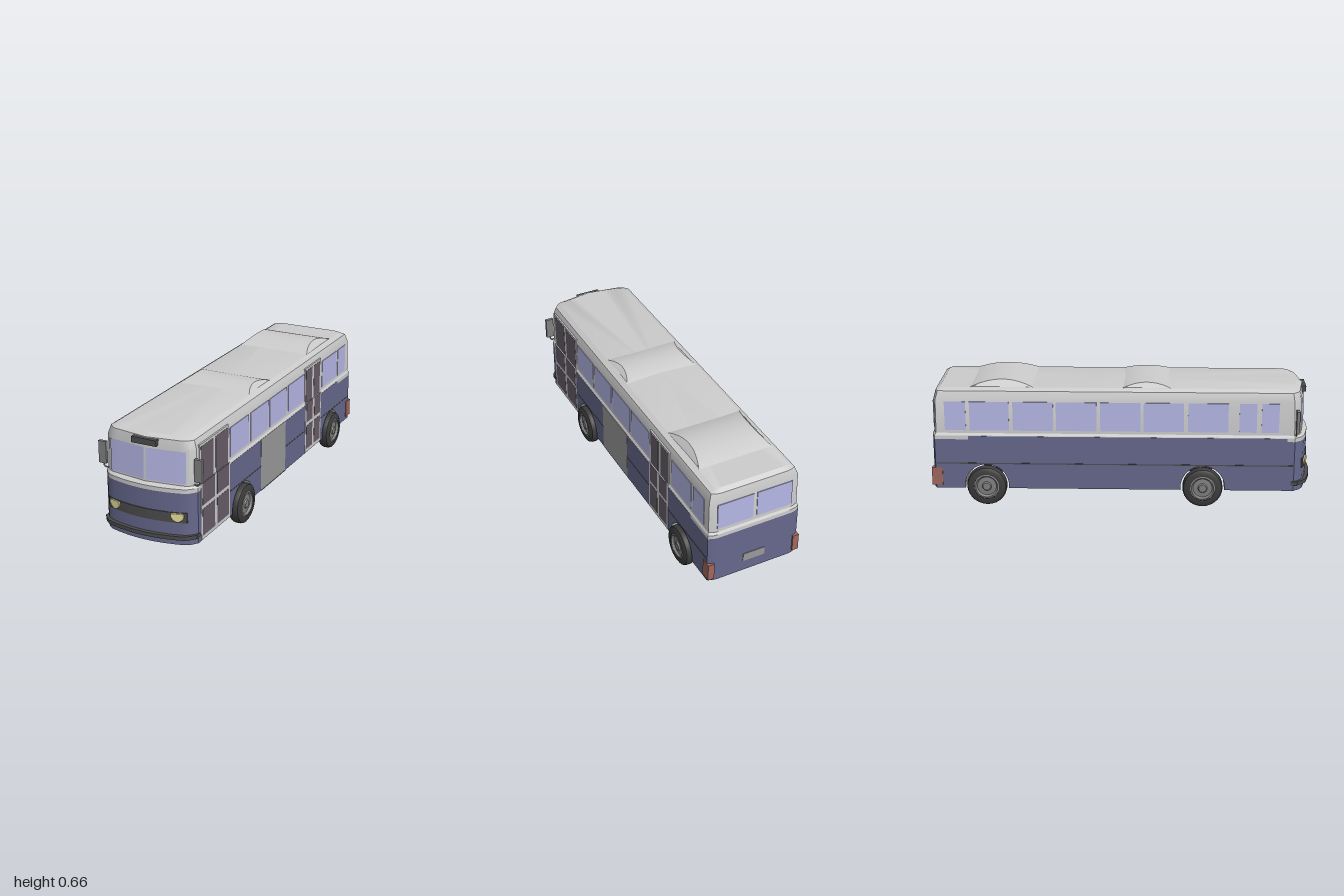
import * as THREE from 'three';
import { toCreasedNormals } from 'three/addons/utils/BufferGeometryUtils.js';

const mat = (color, side = THREE.FrontSide) => new THREE.MeshStandardMaterial({ color, side });
const M = {
  grey: mat(0xcccccc), blue: mat(0x66688c), glass: mat(0xb6b7e6, THREE.DoubleSide),
  door: mat(0x665c68), dark: mat(0x4c4c4c), tyre: mat(0x3c3c3c), hub: mat(0x808080),
  under: mat(0x606060), panel: mat(0x999999), lamp: mat(0xe4dc9a), tail: mat(0xa0665c),
};
const W = 0.252;              // half width of the lower body
const AXLES = [0.425, -0.707], HUB_Y = 0.105, ARCH = 0.115;

export function createModel() {
  const bus = new THREE.Group();
  const add = (name, geo, material, parent = bus) => {
    const m = new THREE.Mesh(geo, material);
    m.name = name;
    parent.add(m);
    return m;
  };
  // box given by its ranges
  const box = (name, [x0, x1], [y0, y1], [z0, z1], material) => {
    const g = new THREE.BoxGeometry(Math.abs(x1 - x0), y1 - y0, Math.abs(z1 - z0));
    return add(name, g.translate((x0 + x1) / 2, (y0 + y1) / 2, (z0 + z1) / 2), material);
  };
  // plan curve: how far front / rear faces fall back at t = |x| / halfWidth
  const corner = t => Math.max(0, (t - 0.8) / 0.2) ** 2;
  const setback = (t, v, q) => v * t + q * t * t + 0.03 * corner(t);
  const lowerFront = x => 0.98 - setback(Math.min(1, Math.abs(x) / W), 0, 0.05);

  // Lower body: side outline with wheel arches, swept across and curved in plan
  const side = new THREE.Shape();
  side.moveTo(-0.99, 0.088);
  for (const z of [...AXLES].reverse()) {
    side.lineTo(z - ARCH, 0.088);
    side.absarc(z, HUB_Y, ARCH, Math.PI, 0, true);
    side.lineTo(z + ARCH, 0.088);
  }
  side.lineTo(0.98, 0.088).lineTo(0.98, 0.357).lineTo(-0.99, 0.357);
  const hull = new THREE.ExtrudeGeometry(side, { depth: 2 * W, steps: 20, bevelEnabled: false, curveSegments: 10 })
    .rotateY(-Math.PI / 2).translate(W, 0, 0);
  const hp = hull.attributes.position;
  for (let i = 0; i < hp.count; i++) {
    const z = hp.getZ(i), x = hp.getX(i);
    if (z > 0.9) hp.setZ(i, lowerFront(x));
    if (z < -0.95) hp.setZ(i, z + 0.015 * corner(Math.abs(x) / W));
  }
  // sort the faces into paintwork, floor and arch linings
  const faces = { lowerBody: [], floor: [], wheelArches: [] };
  const v = [0, 1, 2].map(() => new THREE.Vector3()), n = new THREE.Vector3(), tri = new THREE.Triangle();
  for (let i = 0; i < hp.count; i += 3) {
    v.forEach((p, k) => p.fromBufferAttribute(hp, i + k));
    tri.set(...v).getNormal(n);
    const mid = tri.getMidpoint(new THREE.Vector3());
    const inArch = Math.abs(n.x) < 0.5 && AXLES.some(z => Math.hypot(mid.z - z, mid.y - HUB_Y) < ARCH + 0.012);
    const floor = n.y < -0.9 && mid.y < 0.09;
    const key = floor ? 'floor' : inArch ? 'wheelArches' : 'lowerBody';
    v.forEach(p => faces[key].push(p.x, p.y, p.z));
  }
  const paint = { lowerBody: M.blue, floor: M.under, wheelArches: M.grey };
  for (const [name, pos] of Object.entries(faces)) {
    const g = new THREE.BufferGeometry();
    g.setAttribute('position', new THREE.Float32BufferAttribute(pos, 3));
    add(name, toCreasedNormals(g, 0.5), paint[name]);
  }

  // Upper body: plan rings [y, halfWidth, frontZ, vee, bow, rearZ] lofted up to the roof
  const rings = [
    [0.357, W, 0.98, 0, 0.05, -0.99], [0.378, W, 0.98, 0, 0.05, -0.99],
    [0.39, 0.245, 0.962, 0.035, 0, -0.982], [0.57, 0.243, 0.957, 0.035, 0, -0.98],
    [0.613, 0.228, 0.95, 0.035, 0, -0.968], [0.628, 0.203, 0.925, 0.035, 0, -0.945],
  ];
  const pos = [], idx = [], N = 42;
  for (const [y, w, zf, vee, bow, zr] of rings) {
    for (let i = 0; i <= 20; i++) {
      const t = 1 - i / 10;
      pos.push(w * t, y, zf - setback(Math.abs(t), vee, bow));
    }
    for (let i = 0; i <= 20; i++) {
      const t = i / 10 - 1;
      pos.push(w * t, y, zr + 0.015 * corner(Math.abs(t)));
    }
  }
  for (let r = 0; r < rings.length; r++) for (let i = 0; i < N; i++) {
    const a = r * N + i, b = r * N + (i + 1) % N;
    if (r < rings.length - 1) idx.push(b, a, a + N, b, a + N, b + N);
    else idx.push(rings.length * N, b, a);
  }
  pos.push(0, 0.632, 0);
  const upper = new THREE.BufferGeometry();
  upper.setAttribute('position', new THREE.Float32BufferAttribute(pos, 3));
  upper.setIndex(idx);
  add('upperBody', toCreasedNormals(upper, 0.5), M.grey);

  // Roof humps: arched along the length, ends leaning inwards
  for (const [z0, z1, top] of [[0, 0.26, 0.651], [-0.79, -0.455, 0.662]]) {
    const zc = (z0 + z1) / 2, h = (z1 - z0) / 2, s = new THREE.Shape();
    s.moveTo(z0, 0.615).lineTo(z1, 0.615);
    for (let i = 0; i <= 16; i++) {
      const u = 1 - i / 8;
      s.lineTo(zc + h * u, 0.626 + (top - 0.626) * (1 - u * u));
    }
    const g = new THREE.ExtrudeGeometry(s, { depth: 0.41, bevelEnabled: false })
      .rotateY(-Math.PI / 2).translate(0.205, 0, 0);
    const p = g.attributes.position;
    for (let i = 0; i < p.count; i++)
      p.setX(i, p.getX(i) * (1 - 0.17 * Math.max(0, p.getY(i) - 0.626) / (top - 0.626)));
    add('roofHump', toCreasedNormals(g, 0.5), M.grey);
  }

  // Side windows, the left side leaving room for its doors
  const bays = [[0.61, 0.70], [0.725, 0.815], [0.345, 0.553], [0.115, 0.323], [-0.11, 0.099],
    [-0.34, -0.13], [-0.565, -0.355], [-0.79, -0.585], [-0.92, -0.81]];
  const doors = [[0.57, 0.87], [-0.56, -0.348]];
  for (const s of [1, -1]) for (const bay of bays) {
    const mid = (bay[0] + bay[1]) / 2;
    if (s > 0 && doors.some(d => mid > d[0] && mid < d[1])) continue;
    box('sideWindow', [s * 0.235, s * 0.2465], [0.405, 0.56], bay, M.glass);
  }

  // Two-leaf doors on the left
  for (const [z0, z1] of doors) {
    box('doorFrame', [0.22, 0.2535], [0.09, 0.385], [z0, z1], M.grey);
    box('doorFrame', [0.22, 0.2465], [0.385, 0.585], [z0, z1], M.grey);
    const half = (z1 - z0) / 2;
    for (const k of [0, 1]) {
      const leaf = [z0 + k * half + 0.012, z0 + (k + 1) * half - 0.012];
      box('doorPanel', [0.24, 0.2545], [0.11, 0.25], leaf, M.door);
      box('doorPanel', [0.24, 0.2545], [0.27, 0.385], leaf, M.door);
      box('doorGlass', [0.235, 0.2475], [0.385, 0.572], leaf, M.door);
    }
  }
  box('sidePanel', [0.23, 0.2535], [0.09, 0.376], [-0.085, 0.215], M.panel);
  box('ramp', [-0.1, 0.25], [0.082, 0.09], [-0.1, 0.2], M.under);

  // Belt strips and trim lines
  const gaps = [[-0.8, -0.56], [-0.348, -0.085], [0.215, 0.57]];
  for (const z of gaps) {
    box('beltStrip', [0.24, 0.2528], [0.35, 0.375], z, M.blue);
    box('trimLine', [0.24, 0.2532], [0.222, 0.228], z, M.dark);
  }
  box('beltStrip', [-0.24, -0.2528], [0.35, 0.375], [-0.8, 0.86], M.blue);
  box('trimLine', [-0.24, -0.2532], [0.222, 0.228], [-0.8, 0.895], M.dark);
  for (const s of [1, -1]) box('trimLine', [s * 0.24, s * 0.2532], [0.222, 0.228], [-0.97, -0.8], M.dark);

  // Bumper and grille follow the bowed front
  const frontBand = (name, w, y0, y1, off) => {
    const s = new THREE.Shape();
    for (let i = 0; i <= 24; i++) {
      const x = w * (i / 12 - 1);
      s[i ? 'lineTo' : 'moveTo'](x, -lowerFront(x) - off);
    }
    for (let i = 24; i >= 0; i--) {
      const x = w * (i / 12 - 1);
      s.lineTo(x, 0.015 - lowerFront(x));
    }
    const g = new THREE.ExtrudeGeometry(s, { depth: y1 - y0, bevelEnabled: false });
    add(name, g.rotateX(-Math.PI / 2).translate(0, y0, 0), M.dark);
  };
  frontBand('grille', 0.216, 0.205, 0.257, 0.004);
  frontBand('bumper', 0.255, 0.12, 0.14, 0.02);

  // Windscreen panes, headlamps, mirrors, tail lamps and rear windows
  const lampShape = new THREE.Shape();
  lampShape.moveTo(-0.026, 0.021).lineTo(0.024, 0.021);
  lampShape.quadraticCurveTo(0.034, 0.015, 0.03, 0).quadraticCurveTo(0.02, -0.018, 0, -0.022);
  lampShape.quadraticCurveTo(-0.022, -0.016, -0.031, 0.004).quadraticCurveTo(-0.034, 0.016, -0.026, 0.021);
  const screenZ = (x, y) => 0.966 - 0.005 * (y - 0.39) / 0.18 - setback(x / 0.244, 0.035, 0);
  for (const s of [1, -1]) {
    const pane = new THREE.PlaneGeometry(0.2, 0.162, 8, 1).translate(s * 0.106, 0.481, 0);
    const p = pane.attributes.position;
    for (let i = 0; i < p.count; i++) p.setZ(i, screenZ(Math.abs(p.getX(i)), p.getY(i)));
    pane.computeVertexNormals();
    add('windscreen', pane, M.glass);

    const lampGeo = new THREE.ExtrudeGeometry(lampShape, { depth: 0.01, bevelSize: 0.002, bevelThickness: 0.004, bevelSegments: 2 });
    const lamp = add('headlamp', lampGeo, M.lamp);
    lamp.position.set(s * 0.17, 0.232, lowerFront(0.17) - 0.004);
    lamp.rotation.y = s * 0.26;

    box('mirror', [s * 0.243, s * 0.285], [0.415, 0.53], [0.902, 0.918], M.hub);
    const arm = new THREE.CatmullRomCurve3([[0.235, 0.395], [0.255, 0.394], [0.264, 0.403], [0.265, 0.42]]
      .map(([x, y]) => new THREE.Vector3(s * x, y, 0.905)));
    add('mirrorArm', new THREE.TubeGeometry(arm, 10, 0.004, 6), M.hub);

    box('tailLamp', [s * 0.222, s * 0.256], [0.105, 0.2], [-0.996, -0.94], M.tail);
    box('rearWindow', [s * 0.01, s * 0.205], [0.41, 0.555], [-0.984, -0.97], M.glass);
  }
  box('destinationSign', [-0.068, 0.066], [0.578, 0.608], [0.935, 0.966], M.dark);
  box('numberPlate', [-0.06, 0.06], [0.15, 0.195], [-0.994, -0.98], M.panel);

  // Wheels and axles
  const lathe = pts => toCreasedNormals(
    new THREE.LatheGeometry(pts.map(([r, y]) => new THREE.Vector2(r, y)), 28).rotateZ(-Math.PI / 2), 0.6);
  const tyreGeo = lathe([[0.03, -0.032], [0.085, -0.032], [0.1, -0.024], [0.105, -0.012],
    [0.105, 0.012], [0.1, 0.024], [0.085, 0.032], [0.066, 0.032], [0.064, 0.02]]);
  const hubGeo = lathe([[0.066, 0.029], [0.058, 0.031], [0.05, 0.02], [0.025, 0.022], [0.02, 0.03], [0, 0.03]]);
  const backGeo = lathe([[0, -0.028], [0.06, -0.033], [0.066, -0.03]]);
  for (const z of AXLES) {
    for (const s of [1, -1]) {
      const wheel = new THREE.Group();
      wheel.name = 'wheel';
      wheel.position.set(s * 0.248, HUB_Y, z);
      wheel.rotation.y = s > 0 ? 0 : Math.PI;
      add('tyre', tyreGeo, M.tyre, wheel);
      add('hub', hubGeo, M.hub, wheel);
      add('wheelBack', backGeo, M.hub, wheel);
      bus.add(wheel);
    }
    add('axle', new THREE.CylinderGeometry(0.014, 0.014, 0.45, 12).rotateZ(Math.PI / 2).translate(0, HUB_Y, z), M.hub);
  }
  return bus;
}
